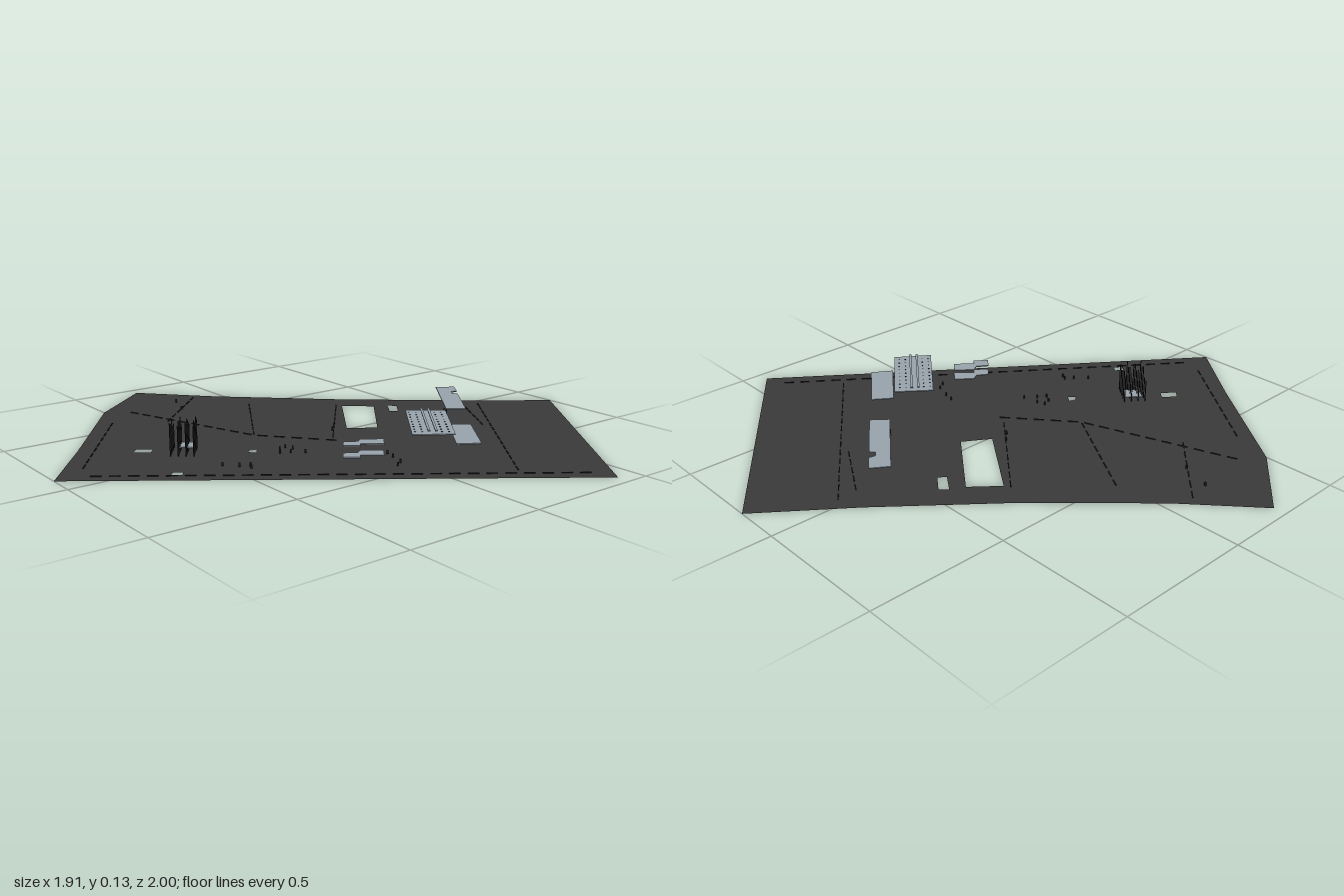
import * as THREE from 'three';

const groundMat = new THREE.MeshStandardMaterial({ color: 0x3a3a3a, side: THREE.DoubleSide });
const roofMat = new THREE.MeshStandardMaterial({ color: 0x9aa4ad });
const darkMat = new THREE.MeshStandardMaterial({ color: 0x222222 });

// Plan directions: U runs along the long side of the roofs, V across it
const U = new THREE.Vector2(0.795, 0.607);
const V = new THREE.Vector2(-0.607, 0.795);
const ANGLE = -Math.atan2(U.y, U.x);

// Plan outline given as [x, z] points; shape y becomes -z when laid flat
const plan = (points) => points.map(([x, z]) => new THREE.Vector2(x, -z));

function plate(name, points, y, thickness = 0.004) {
  const geo = new THREE.ExtrudeGeometry(new THREE.Shape(plan(points)), { depth: thickness, bevelEnabled: false });
  geo.rotateX(-Math.PI / 2);
  const mesh = new THREE.Mesh(geo, roofMat);
  mesh.name = name;
  mesh.position.y = y;
  return mesh;
}

function box(name, x, y, z, w, h, d, angle = ANGLE, mat = darkMat) {
  const mesh = new THREE.Mesh(new THREE.BoxGeometry(w, h, d), mat);
  mesh.name = name;
  mesh.position.set(x, y + h / 2, z);
  mesh.rotation.y = angle;
  return mesh;
}

// Dashed marking between two plan points
function dashes(group, [x0, z0], [x1, z1]) {
  const length = Math.hypot(x1 - x0, z1 - z0);
  const count = Math.max(2, Math.round(length / 0.06));
  for (let i = 0; i < count; i++) {
    const t = (i + 0.5) / count;
    group.add(box('roadDash', x0 + (x1 - x0) * t, 0, z0 + (z1 - z0) * t,
      length / count * 0.6, 0.003, 0.004, -Math.atan2(z1 - z0, x1 - x0)));
  }
}

export function createModel() {
  const model = new THREE.Group();
  model.name = 'sitePlan';
  const group = (name) => {
    const g = new THREE.Group();
    g.name = name;
    model.add(g);
    return g;
  };

  // Ground sheet with openings
  const ground = new THREE.Shape(plan([
    [0.17, -1], [0.955, -0.42], [-0.10, 1], [-0.35, 0.80], [-0.63, 0.59],
    [-0.75, 0.50], [-0.955, 0.25], [-0.71, 0.03], [-0.37, -0.33], [-0.06, -0.70],
  ]));
  for (const hole of [
    [[-0.19, -0.38], [0.05, -0.195], [-0.01, -0.10], [-0.27, -0.285]],
    [[-0.14, -0.455], [-0.08, -0.41], [-0.10, -0.385], [-0.165, -0.43]],
    [[0.01, 0.31], [0.035, 0.33], [0.015, 0.35], [-0.005, 0.33]],
    [[-0.21, 0.59], [-0.185, 0.61], [-0.22, 0.66], [-0.245, 0.635]],
    [[0.07, 0.635], [0.09, 0.65], [0.07, 0.68], [0.05, 0.66]],
  ]) ground.holes.push(new THREE.Path(plan(hole)));
  const groundMesh = new THREE.Mesh(new THREE.ShapeGeometry(ground).rotateX(-Math.PI / 2), groundMat);
  groundMesh.name = 'ground';
  model.add(groundMesh);

  // Floating roof plates
  model.add(plate('longRoof', [[0.01, -0.62], [0.065, -0.58], [0.06, -0.555], [0.08, -0.54],
    [0.095, -0.555], [0.275, -0.42], [0.23, -0.365], [-0.03, -0.56]], 0.078));
  model.add(plate('mainRoof', [[0.335, -0.26], [0.57, -0.08], [0.49, 0.035], [0.25, -0.15]], 0.111));
  model.add(plate('rearRoof', [[0.41, -0.31], [0.595, -0.175], [0.55, -0.105], [0.365, -0.245]], 0.069));
  for (const y of [0.038, 0.076]) {
    model.add(plate('steppedSlab', [[0.38, 0.06], [0.425, 0.095], [0.375, 0.155], [0.395, 0.17],
      [0.36, 0.215], [0.325, 0.185], [0.35, 0.145], [0.335, 0.12]], y));
  }
  model.add(plate('lowPad', [[-0.14, 0.46], [-0.09, 0.50], [-0.13, 0.54], [-0.18, 0.51]], 0.016));

  // Raised ridge strips and studs on the main roof
  const roofDetails = group('roofDetails');
  for (const v of [-0.012, 0.012]) {
    roofDetails.add(box('ridgeStrip', 0.41 + V.x * v, 0.122, -0.11 + V.y * v, 0.28, 0.004, 0.008, ANGLE, roofMat));
  }
  for (const v of [-0.055, -0.032, 0.032, 0.055]) {
    for (let i = -4; i <= 4; i++) {
      const u = i * 0.03;
      roofDetails.add(box('roofStud', 0.41 + U.x * u + V.x * v, 0.115, -0.11 + U.y * u + V.y * v, 0.005, 0.001, 0.005));
    }
  }

  // Cluster of slender poles around the low pad, shorter toward -x
  const poles = group('poles');
  for (let i = 0; i < 5; i++) {
    for (let j = 0; j < 4; j++) {
      const u = (i - 2) * 0.026, v = (j - 1.5) * 0.026;
      const x = -0.12 + U.x * u + V.x * v, z = 0.52 + U.y * u + V.y * v;
      const h = x < -0.15 ? 0.085 : 0.105 + 0.012 * ((i + j) % 2);
      poles.add(box('pole', x, 0, z, 0.003, h, 0.003));
    }
  }

  // Low bollards scattered beside the buildings
  const bollards = group('bollards');
  for (const [x, z] of [[0.05, 0.22], [0.08, 0.21], [0.11, 0.24], [0.06, 0.25], [0.09, 0.27], [0.14, 0.2],
    [0.15, 0.43], [0.17, 0.44], [0.13, 0.46], [0.09, 0.5], [0.32, -0.01], [0.36, 0], [0.42, 0.02], [0.44, 0.05],
    [-0.05, -0.07], [-0.02, -0.04], [-0.72, 0.2], [-0.61, 0.24]]) {
    bollards.add(box('bollard', x, 0, z, 0.006, 0.013, 0.006));
  }

  // Small cross frame below the long roof
  const frame = group('crossFrame');
  for (const s of [-0.007, 0.007]) {
    frame.add(box('frameUpright', 0.195 + s, 0.045, -0.395, 0.003, 0.025, 0.003));
    frame.add(box('frameBar', 0.195, 0.056 + s, -0.395, 0.025, 0.003, 0.003));
  }

  // Dashed road markings
  const roads = group('roadMarkings');
  for (const [a, b] of [
    [[-0.53, -0.02], [-0.14, 0.22]], [[-0.75, 0.10], [-0.48, 0.38]], [[-0.30, -0.28], [0.06, 0.02]],
    [[0.02, -0.74], [0.72, -0.22]], [[0.03, -0.66], [0.27, -0.52]], [[0.88, -0.40], [-0.08, 0.90]],
    [[-0.70, 0.42], [-0.14, 0.22]], [[-0.14, 0.22], [0.10, 0.02]], [[-0.60, 0.54], [-0.15, 0.88]],
  ]) dashes(roads, a, b);

  return model;
}
